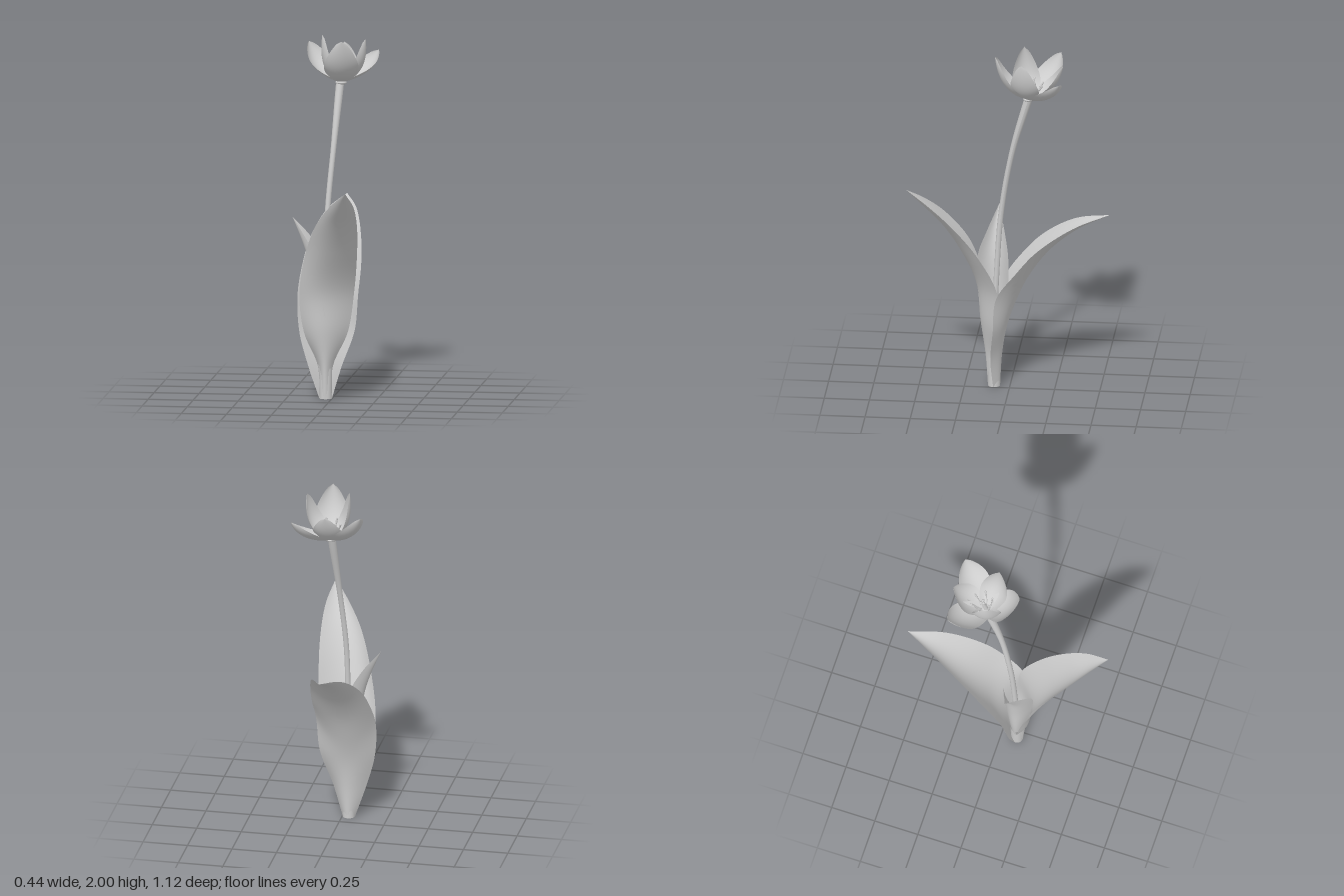
import * as THREE from 'three';

const V = (a) => new THREE.Vector3(...a);

// Smooth sheet from a rule: point(t along the length, u across from -1 to 1)
function sheet(point, nt, nu) {
  const pos = [], idx = [];
  for (let i = 0; i <= nt; i++) {
    for (let j = 0; j <= nu; j++) {
      pos.push(...point(i / nt, (j / nu) * 2 - 1).toArray());
      if (i < nt && j < nu) {
        const a = i * (nu + 1) + j, b = a + nu + 1;
        idx.push(a, a + 1, b, b, a + 1, b + 1);
      }
    }
  }
  const g = new THREE.BufferGeometry();
  g.setAttribute('position', new THREE.Float32BufferAttribute(pos, 3));
  g.setIndex(idx);
  g.computeVertexNormals();
  return g;
}

// Leaf from rows of [one edge, midrib, other edge], meeting at a tip
function leafGeometry(rows, tip) {
  const [l, m, r] = [0, 1, 2].map((k) =>
    new THREE.CatmullRomCurve3([...rows.map((row) => V(row[k])), V(tip)]));
  return sheet((t, u) => {
    const p = m.getPoint(t).multiplyScalar(1 - u * u);
    p.addScaledVector(l.getPoint(t), (u * (u - 1)) / 2);
    return p.addScaledVector(r.getPoint(t), (u * (u + 1)) / 2);
  }, 48, 14);
}

// Cupped petal curving out from the base and up to a rounded tip
function petalGeometry(base, tip, halfWidth, bulge) {
  const out = tip.clone().sub(base);
  const rise = out.y;
  out.y = 0;
  const control = base.clone().addScaledVector(out, bulge);
  control.y += rise * 0.15;
  const mid = new THREE.QuadraticBezierCurve3(base, control, tip);
  const side = new THREE.Vector3(0, 1, 0).cross(out).normalize();
  return sheet((t, u) => {
    const w = halfWidth * Math.pow(Math.max(0, Math.sin(Math.PI * (0.1 + 0.9 * t))), 0.6);
    const inward = mid.getTangent(t).cross(side).normalize();
    return mid.getPoint(t).addScaledVector(side, u * w).addScaledVector(inward, 0.45 * u * u * w);
  }, 24, 12);
}

export function createModel() {
  const model = new THREE.Group();
  model.name = 'flower';
  const grey = new THREE.MeshStandardMaterial({ color: 0xcccccc, side: THREE.DoubleSide });
  grey.name = 'plain grey';
  const add = (name, geometry, parent = model) => {
    const mesh = new THREE.Mesh(geometry, grey);
    mesh.name = name;
    parent.add(mesh);
    return mesh;
  };

  // Stem, widening under the bloom
  const path = new THREE.CatmullRomCurve3([
    [-0.035, 0, 0.09], [-0.035, 0.35, 0.085], [-0.035, 0.68, 0.073], [-0.03, 1.03, 0.048],
    [-0.003, 1.4, -0.015], [0.02, 1.74, -0.11],
  ].map(V));
  const stem = new THREE.TubeGeometry(path, 48, 0.015, 12);
  const sp = stem.attributes.position, v = new THREE.Vector3();
  for (let i = 0; i < sp.count; i++) {
    const t = Math.floor(i / 13) / 48, c = path.getPointAt(t);
    v.fromBufferAttribute(sp, i).sub(c);
    v.multiplyScalar(1 + 0.5 * THREE.MathUtils.smoothstep(t, 0.75, 1)).add(c);
    sp.setXYZ(i, v.x, v.y, v.z);
  }
  stem.computeVertexNormals();
  add('stem', stem);

  // Sheath where the leaves wrap the stem
  add('sheath', new THREE.CylinderGeometry(0.036, 0.034, 0.17, 20, 1, true)).position.set(-0.035, 0.085, 0.088);

  // Leaves
  add('frontLeaf', leafGeometry([
    [[-0.07, 0, 0.088], [-0.035, 0, 0.122], [0, 0, 0.088]],
    [[-0.078, 0.18, 0.09], [-0.035, 0.18, 0.135], [0.005, 0.18, 0.085]],
    [[-0.15, 0.37, 0.125], [-0.035, 0.38, 0.162], [0.085, 0.37, 0.06]],
    [[-0.172, 0.58, 0.155], [-0.03, 0.6, 0.182], [0.12, 0.6, 0.055]],
    [[-0.13, 0.82, 0.23], [0.005, 0.83, 0.28], [0.15, 0.83, 0.165]],
    [[-0.05, 1.01, 0.355], [0.055, 1.0, 0.38], [0.166, 1.0, 0.3]],
    [[0.045, 1.13, 0.465], [0.1, 1.11, 0.47], [0.163, 1.12, 0.43]],
  ], [0.135, 1.21, 0.56]));
  add('backLeaf', leafGeometry([
    [[-0.07, 0, 0.09], [-0.035, 0, 0.055], [0, 0, 0.09]],
    [[-0.13, 0.18, 0.1], [-0.03, 0.2, 0.042], [0.055, 0.18, 0.1]],
    [[-0.182, 0.37, 0.085], [-0.03, 0.36, 0.015], [0.125, 0.38, 0.08]],
    [[-0.196, 0.57, 0.05], [-0.03, 0.51, -0.035], [0.142, 0.58, 0.06]],
    [[-0.18, 0.74, -0.06], [-0.025, 0.68, -0.115], [0.145, 0.73, -0.045]],
    [[-0.15, 0.87, -0.18], [-0.02, 0.84, -0.235], [0.13, 0.86, -0.16]],
    [[-0.085, 0.99, -0.36], [-0.01, 0.965, -0.385], [0.08, 0.99, -0.36]],
  ], [0, 1.05, -0.558]));
  add('sideLeaf', leafGeometry([
    [[-0.035, 0.09, 0.12], [-0.066, 0.09, 0.09], [-0.035, 0.09, 0.06]],
    [[-0.03, 0.3, 0.145], [-0.09, 0.3, 0.09], [-0.02, 0.3, 0.03]],
    [[-0.035, 0.55, 0.175], [-0.1, 0.55, 0.09], [-0.03, 0.55, 0.01]],
    [[-0.06, 0.76, 0.18], [-0.12, 0.73, 0.095], [-0.05, 0.76, 0.012]],
    [[-0.13, 0.88, 0.135], [-0.155, 0.85, 0.088], [-0.12, 0.89, 0.04]],
  ], [-0.22, 1.005, 0.077]));

  // Bloom: three outer and three inner petals
  const bloom = new THREE.Group();
  bloom.name = 'bloom';
  model.add(bloom);
  const base = V([0.025, 1.732, -0.11]);
  [
    ['outerPetal', [-0.175, 1.935, -0.27], 0.088, 0.8],
    ['outerPetal', [0.21, 1.89, -0.295], 0.088, 0.8],
    ['outerPetal', [0.05, 1.985, 0.075], 0.095, 0.9],
    ['innerPetal', [0.02, 1.93, -0.3], 0.082, 0.85],
    ['innerPetal', [0.165, 1.98, -0.08], 0.08, 1.1],
    ['innerPetal', [-0.075, 2.0, -0.075], 0.08, 1.25],
  ].forEach(([name, tip, w, bulge]) => add(name, petalGeometry(base, V(tip), w, bulge), bloom));

  const receptacle = add('receptacle', new THREE.SphereGeometry(0.032, 16, 10), bloom);
  receptacle.position.copy(base);
  receptacle.scale.y = 0.4;

  // Pistil and a ring of stamens, leaning with the bloom
  const heart = new THREE.Group();
  heart.name = 'heart';
  heart.position.copy(base);
  heart.rotation.x = -0.25;
  bloom.add(heart);
  add('pistil', new THREE.CylinderGeometry(0.01, 0.013, 0.09, 12), heart).position.y = 0.045;
  for (let k = 0; k < 3; k++) {
    const lobe = add('stigma', new THREE.SphereGeometry(0.009, 10, 8), heart);
    lobe.position.set(0.009 * Math.cos(k * 2.094), 0.092, 0.009 * Math.sin(k * 2.094));
  }
  for (let k = 0; k < 6; k++) {
    const stamen = new THREE.Group();
    stamen.name = 'stamen';
    stamen.rotation.y = (k * Math.PI) / 3;
    heart.add(stamen);
    const curve = new THREE.QuadraticBezierCurve3(V([0.012, 0, 0]), V([0.035, 0.02, 0]), V([0.05, 0.075, 0]));
    add('filament', new THREE.TubeGeometry(curve, 8, 0.003, 6), stamen);
    const anther = add('anther', new THREE.CapsuleGeometry(0.005, 0.028, 4, 8), stamen);
    anther.position.set(0.056, 0.092, 0);
    anther.rotation.z = -0.35;
  }
  return model;
}
